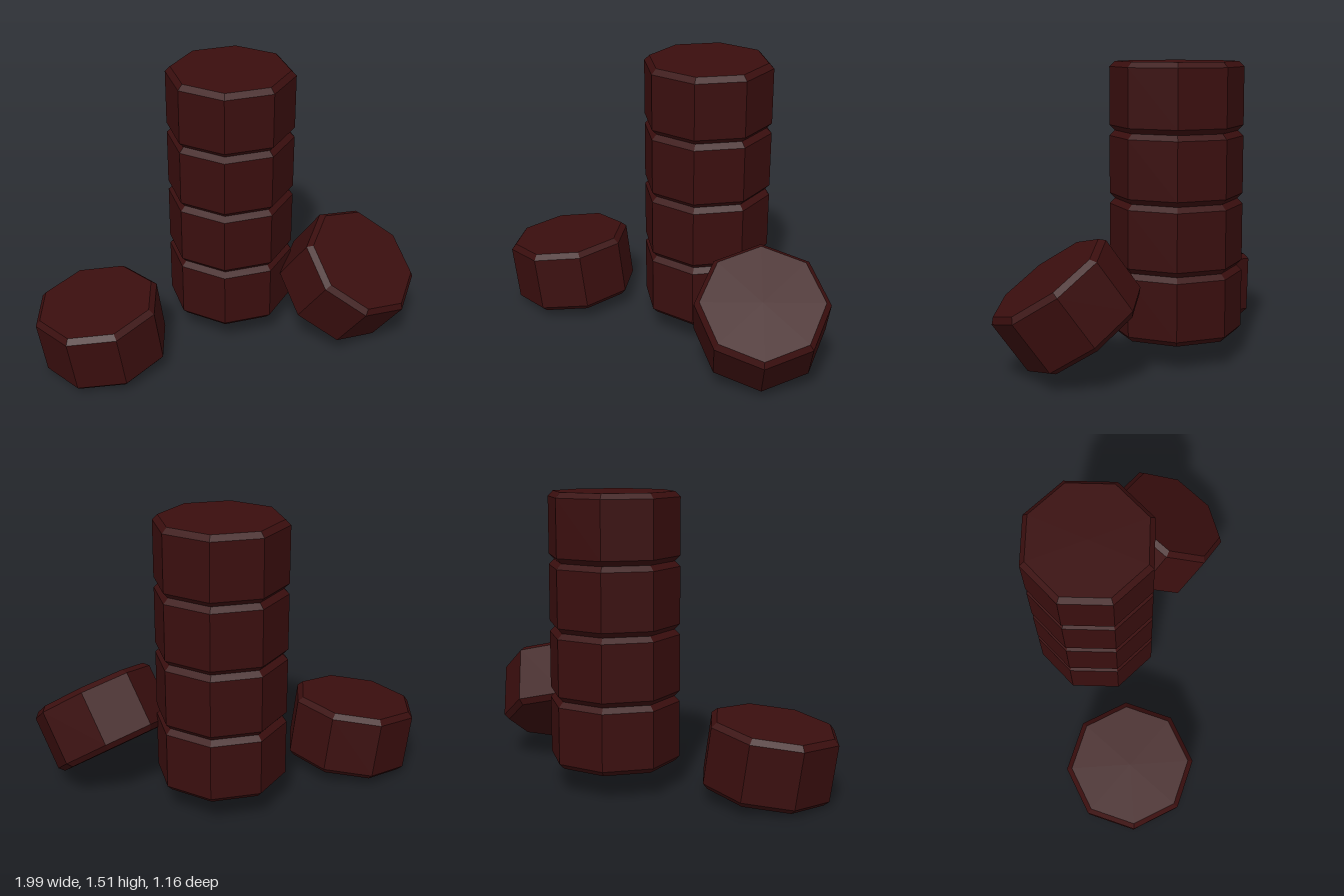
import * as THREE from 'three';

const RADIUS = 0.337;
const HEIGHT = 0.345;
const BEVEL = 0.027;

export function createModel() {
  const model = new THREE.Group();
  const material = new THREE.MeshStandardMaterial({ color: 0x3a0e0e, flatShading: true });

  // Eight-sided drum with bevelled rims, centred on its own middle
  const h = HEIGHT / 2;
  const profile = [
    [0, -h], [RADIUS - BEVEL, -h], [RADIUS, -h + BEVEL],
    [RADIUS, h - BEVEL], [RADIUS - BEVEL, h], [0, h],
  ].map(([r, y]) => new THREE.Vector2(r, y));
  const drumGeometry = new THREE.LatheGeometry(profile, 8);

  // Place a drum by its centre, the way its axis points and the way one corner points
  function addDrum(name, centre, axis = [0, 1, 0], corner = [1, 0, 0]) {
    const up = new THREE.Vector3(...axis).normalize();
    const side = new THREE.Vector3(...corner).projectOnPlane(up).normalize();
    const front = new THREE.Vector3().crossVectors(side, up);
    const drum = new THREE.Mesh(drumGeometry, material);
    drum.name = name;
    drum.position.set(...centre);
    drum.quaternion.setFromRotationMatrix(new THREE.Matrix4().makeBasis(side, up, front));
    model.add(drum);
  }

  // Upright stack
  for (let i = 0; i < 4; i++) {
    addDrum(`stackedDrum${i + 1}`, [-0.018, 0.137 + HEIGHT * (i + 0.5), -0.245]);
  }

  // Loose drum lying almost flat on the right
  addDrum('looseDrumRight', [-0.662, 0.217, 0.245], [-0.12, 1, 0.07], [0.956, 0, 0.292]);

  // Loose drum leaning against the stack on the left
  addDrum('leaningDrumLeft', [0.632, 0.362, -0.148], [0.48, 0.82, 0.32], [-0.18, -0.005, 0.27]);

  return model;
}
